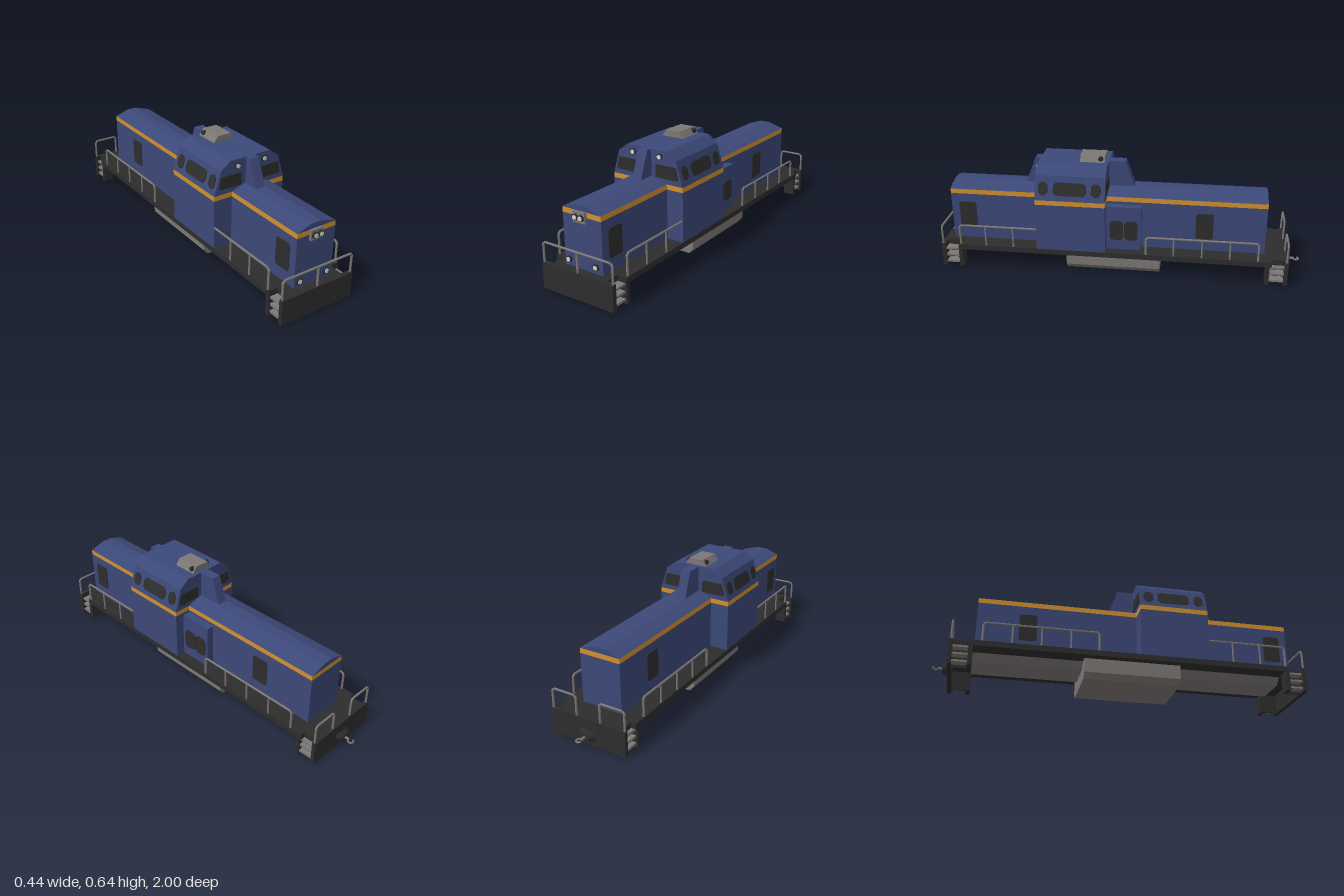
import * as THREE from 'three';

const mat = (name, color) => {
  const m = new THREE.MeshStandardMaterial({ color });
  m.name = name;
  return m;
};

export function createModel() {
  const blue = mat('body blue', 0x3c4878);
  const orange = mat('stripe orange', 0xd0902e);
  const dark = mat('charcoal', 0x2d2d2d);
  const grey = mat('metal grey', 0x7b7774);
  const lens = mat('lamp white', 0xd4d4d0);
  const root = new THREE.Group();
  root.name = 'locomotive';

  const add = (name, geo, material, x = 0, y = 0, z = 0) => {
    const m = new THREE.Mesh(geo, material);
    m.name = name;
    m.position.set(x, y, z);
    root.add(m);
    return m;
  };
  // Box given by its limits on each axis
  const box = (name, material, x0, x1, y0, y1, z0, z1) =>
    add(name, new THREE.BoxGeometry(x1 - x0, y1 - y0, z1 - z0), material,
      (x0 + x1) / 2, (y0 + y1) / 2, (z0 + z1) / 2);
  const extrude = (pts, depth) => new THREE.ExtrudeGeometry(
    new THREE.Shape(pts.map(p => new THREE.Vector2(...p))), { depth, bevelEnabled: false });
  // Cross-section in x and y, carried along z
  const prism = (name, material, pts, z0, z1) => add(name, extrude(pts, z1 - z0), material, 0, 0, z0);
  // Round bars along a polyline
  const rail = (name, pts, r = 0.006, material = grey) => {
    for (let i = 0; i + 1 < pts.length; i++) {
      const a = new THREE.Vector3(...pts[i]), b = new THREE.Vector3(...pts[i + 1]);
      const d = b.clone().sub(a);
      const m = add(name, new THREE.CylinderGeometry(r, r, d.length(), 8), material);
      m.position.copy(a).add(b).multiplyScalar(0.5);
      m.quaternion.setFromUnitVectors(new THREE.Vector3(0, 1, 0), d.normalize());
    }
  };
  // Thin plate with cut corners on a side wall; tilt leans it inward
  const sidePlate = (name, s, x, y0, y1, z0, z1, cut, tilt = 0) => {
    const w = (z1 - z0) / 2, h = (y1 - y0) / 2;
    const pts = [[-w + cut, -h], [w - cut, -h], [w, -h + cut], [w, h - cut],
      [w - cut, h], [-w + cut, h], [-w, h - cut], [-w, -h + cut]];
    const m = add(name, extrude(pts, 0.004), dark, s * x, (y0 + y1) / 2, (z0 + z1) / 2);
    m.rotation.set(0, s * Math.PI / 2, s * tilt, 'ZYX');
  };
  // Hexagonal lamp facing forward
  const lamp = (x, y, z) => {
    const parts = [['lampRim', 0.0175, 0.012, dark, 0.004], ['lampLens', 0.0125, 0.014, lens, 0.006]];
    for (const [name, r, len, material, dz] of parts) {
      const m = add(name, new THREE.CylinderGeometry(r, r, len, 6), material, x, y, z + dz);
      m.rotation.x = Math.PI / 2;
    }
  };

  // Long hood with crowned roof
  const h0 = -0.11, h1 = 0.122, hz0 = -0.793, hz1 = 0.949;
  box('hoodBody', blue, h0, h1, 0.137, 0.405, hz0, hz1);
  box('hoodStripe', orange, h0, h1, 0.405, 0.432, hz0, hz1);
  prism('hoodRoof', blue, [[h0, 0.432], [h1, 0.432], [0.1, 0.439], [0.03, 0.46], [-0.03, 0.46], [-0.092, 0.439]], hz0, hz1);
  sidePlate('hoodDoor', 1, 0.122, 0.207, 0.357, 0.81, 0.905, 0.008);
  sidePlate('hoodDoor', 1, 0.122, 0.207, 0.357, -0.51, -0.415, 0.008);
  sidePlate('hoodDoor', -1, 0.11, 0.207, 0.357, 0.81, 0.905, 0.008);
  sidePlate('hoodDoor', -1, 0.11, 0.207, 0.357, -0.57, -0.475, 0.008);

  // Side cabinet behind the cab
  box('sideCabinet', blue, 0.12, 0.165, 0.137, 0.39, -0.12, 0.075);
  sidePlate('cabinetDoor', 1, 0.165, 0.195, 0.308, -0.023, 0.052, 0.014);
  sidePlate('cabinetDoor', 1, 0.165, 0.195, 0.308, -0.102, -0.028, 0.014);

  // Cab
  const c0 = 0.07, c1 = 0.45;
  box('cabBody', blue, -0.218, 0.218, 0.137, 0.405, c0, c1);
  box('cabStripe', orange, -0.218, 0.218, 0.405, 0.432, c0, c1);
  prism('cabTop', blue, [[-0.218, 0.432], [0.218, 0.432], [0.178, 0.562], [0.123, 0.603],
    [-0.123, 0.603], [-0.178, 0.562]], c0, c1);
  const tilt = Math.atan(0.04 / 0.13);
  for (const s of [-1, 1]) {
    for (const [z0, z1] of [[0.38, 0.43], [0.172, 0.35], [0.092, 0.145]])
      sidePlate('cabSideWindow', s, 0.199, 0.458, 0.53, z0, z1, 0.016, tilt);
    const win = [[0.055, 0.46], [0.186, 0.46], [0.192, 0.468], [0.177, 0.528], [0.062, 0.528], [0.055, 0.52]]
      .map(([x, y]) => [s * x, y]);
    prism('cabFrontWindow', dark, win, c1, c1 + 0.004);
    prism('cabRearWindow', dark, win, c0 - 0.004, c0);
    lamp(s * 0.083, 0.57, c1);
    lamp(s * 0.083, 0.172, hz1);
    lamp(s * 0.017, 0.405, 0.962);
  }
  box('headlightBox', grey, -0.037, 0.037, 0.377, 0.432, 0.94, 0.962);

  // Sloped ducts on the cab ends, drawn in z and y
  const duct = (name, pts) => {
    const m = add(name, extrude(pts.map(([z, y]) => [-z, y]), 0.055), blue, -0.0275);
    m.rotation.y = Math.PI / 2;
  };
  duct('frontDuct', [[0.44, 0.44], [0.545, 0.44], [0.48, 0.602], [0.44, 0.602]]);
  duct('rearDuct', [[0.08, 0.44], [-0.075, 0.44], [-0.02, 0.602], [0.08, 0.602]]);

  // Roof vent with round side fans
  prism('roofVent', grey, [[-0.067, 0.602], [0.067, 0.602], [0.041, 0.637], [-0.041, 0.637]], 0.09, 0.225);
  for (const s of [-1, 1]) {
    const fan = add('ventFan', new THREE.CylinderGeometry(0.014, 0.014, 0.02, 8), dark, s * 0.052, 0.62, 0.112);
    fan.rotation.z = Math.PI / 2;
  }

  // Deck, underframe and tank
  box('deck', dark, -0.218, 0.218, 0.107, 0.137, -0.83, 0.9);
  box('frontDeck', dark, -0.165, 0.165, 0.107, 0.137, 0.9, 0.98);
  box('rearDeck', dark, -0.19, 0.19, 0.107, 0.137, -0.9, -0.83);
  prism('centreSill', grey, [[-0.09, 0.072], [0.09, 0.072], [0.13, 0.108], [-0.13, 0.108]], -0.8, 0.88);
  prism('fuelTank', grey, [[-0.15, 0], [0.15, 0], [0.175, 0.03], [0.175, 0.108], [-0.175, 0.108], [-0.175, 0.03]], -0.225, 0.295);

  // End plates and corner steps
  box('frontPlate', dark, -0.218, 0.218, 0, 0.137, 0.976, 0.999);
  box('rearPlate', dark, -0.218, 0.218, 0, 0.137, -0.918, -0.898);
  for (const s of [-1, 1]) {
    for (const [z0, z1, inner, bracketZ] of [[0.9, 0.978, 0.165, 0.88], [-0.9, -0.82, 0.165, -0.82]]) {
      const side = (name, m, a, b, y0, y1, za, zb) =>
        box(name, m, Math.min(s * a, s * b), Math.max(s * a, s * b), y0, y1, za, zb);
      side('stepBack', dark, inner - 0.01, inner, 0, 0.12, z0, z1);
      side('stepBracket', dark, inner - 0.01, 0.218, 0, 0.12, bracketZ, bracketZ + 0.022);
      for (const y of [0.015, 0.055, 0.095])
        side('stepTread', grey, inner, 0.21, y, y + 0.012, z0, z1);
    }

    // Side handrails
    const x = s * 0.212;
    rail('frontSideRail', [[x, 0.13, 0.885], [x, 0.242, 0.885], [x, 0.253, 0.873], [x, 0.253, 0.45]]);
    for (const z of [0.74, 0.585]) rail('railPost', [[x, 0.13, z], [x, 0.253, z]], 0.005);
    rail('rearSideRail', [[x, 0.13, -0.152], [x, 0.23, -0.152], [x, 0.241, -0.164],
      [x, 0.241, -0.743], [x, 0.23, -0.755], [x, 0.13, -0.755]]);
    for (const z of [-0.302, -0.455, -0.605]) rail('railPost', [[x, 0.13, z], [x, 0.241, z]], 0.005);

    // Rear end handrail loops
    rail('rearEndRail', [[x, 0.13, -0.908], [x, 0.23, -0.908], [s * 0.2, 0.242, -0.908],
      [s * 0.082, 0.242, -0.908], [s * 0.07, 0.23, -0.908], [s * 0.07, 0.13, -0.908]]);
  }

  // Front end handrail
  rail('frontEndRail', [[-0.212, 0.13, 0.988], [-0.212, 0.23, 0.988], [-0.2, 0.241, 0.988],
    [0.2, 0.241, 0.988], [0.212, 0.23, 0.988], [0.212, 0.13, 0.988]]);
  rail('railPost', [[0, 0.13, 0.988], [0, 0.241, 0.988]]);

  // Rear coupler: mounting block, shank and hook
  const mount = add('couplerMount', new THREE.CylinderGeometry(0.035, 0.062, 0.028, 4, 1, false, Math.PI / 4), dark, 0, 0.055, -0.931);
  mount.rotation.x = -Math.PI / 2;
  mount.scale.z = 0.6;
  rail('couplerShank', [[0, 0.055, -0.94], [0, 0.055, -0.968]], 0.007);
  const hook = add('couplerHook', new THREE.TorusGeometry(0.014, 0.005, 6, 12, Math.PI * 1.4), grey, 0.004, 0.055, -0.981);
  hook.rotation.set(-Math.PI / 2, 0, -Math.PI / 2);

  return root;
}
